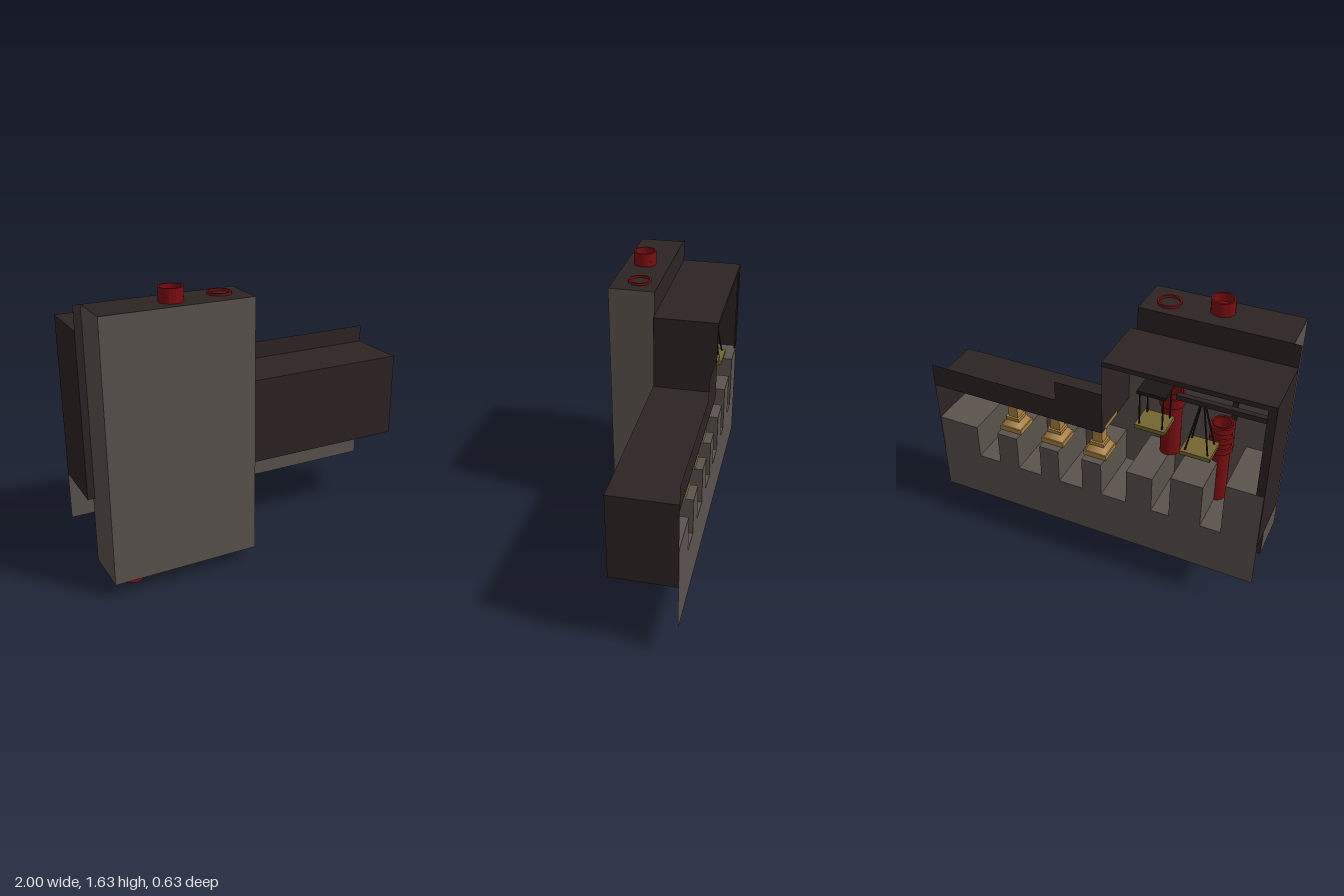
import * as THREE from 'three';

const mat = (name, color, side = THREE.DoubleSide) => {
  const m = new THREE.MeshStandardMaterial({ color, side });
  m.name = name;
  return m;
};

export function createModel() {
  const stone = mat('grey stone', 0x5a524d);
  const dark = mat('dark brown wall', 0x2d2323);
  const red = mat('red pipe', 0x7a0d10);
  const gold = mat('gold pedestal', 0xa9813f);
  const olive = mat('olive platform', 0x74662f);
  const black = mat('black iron', 0x1b1616);

  const root = new THREE.Group();
  root.name = 'levelSection';

  const add = (name, geo, m, parent = root) => {
    const mesh = new THREE.Mesh(geo, m);
    mesh.name = name;
    parent.add(mesh);
    return mesh;
  };
  const box = (name, m, x0, x1, y0, y1, z0, z1, parent) => {
    const b = add(name, new THREE.BoxGeometry(x1 - x0, y1 - y0, z1 - z0), m, parent);
    b.position.set((x0 + x1) / 2, (y0 + y1) / 2, (z0 + z1) / 2);
    return b;
  };
  // Single sheets facing z, x or y
  const sheetZ = (name, m, x0, x1, y0, y1, z) => {
    const p = add(name, new THREE.PlaneGeometry(x1 - x0, y1 - y0), m);
    p.position.set((x0 + x1) / 2, (y0 + y1) / 2, z);
  };
  const sheetX = (name, m, x, y0, y1, z0, z1) => {
    const p = add(name, new THREE.PlaneGeometry(z1 - z0, y1 - y0), m);
    p.rotation.y = Math.PI / 2;
    p.position.set(x, (y0 + y1) / 2, (z0 + z1) / 2);
  };
  const sheetY = (name, m, y, x0, x1, z0, z1) => {
    const p = add(name, new THREE.PlaneGeometry(x1 - x0, z1 - z0), m);
    p.rotation.x = -Math.PI / 2;
    p.position.set((x0 + x1) / 2, y, (z0 + z1) / 2);
  };

  // Front tower, open underneath
  sheetZ('towerFront', stone, -0.96, -0.12, 0.08, 1.55, 0.315);
  for (const x of [-0.96, -0.12]) {
    sheetX('towerSideUpper', stone, x, 0.475, 1.55, 0.05, 0.315);
    sheetX('towerSideLower', stone, x, 0.08, 0.475, 0.02, 0.315);
  }
  sheetY('towerTop', dark, 1.55, -0.96, -0.12, 0.05, 0.315);
  sheetZ('towerBackUpper', dark, -1, -0.12, 0.475, 1.55, 0.05);
  sheetZ('towerBackLower', dark, -0.96, -0.12, 0.08, 0.475, 0.02);

  // Tall room behind the tower
  sheetY('roomRoof', dark, 1.415, -1, -0.08, -0.315, 0.05);
  sheetX('roomOuterWall', dark, -1, 0.475, 1.415, -0.315, 0.05);
  sheetX('roomInnerWall', dark, -0.08, 0.95, 1.415, -0.315, 0.05);
  sheetZ('roomFrontStrip', dark, -0.12, -0.08, 0.95, 1.415, 0.05);
  sheetZ('roomLining', stone, -0.995, -0.075, 0.475, 1.41, 0.043);
  box('roomLintel', dark, -1, -0.08, 1.385, 1.414, -0.314, -0.305);
  box('roomPost', dark, -1, -0.955, 0.475, 1.4, -0.314, -0.305);

  // Long low hall
  sheetZ('hallFront', dark, -0.075, 1, 0.475, 0.985, 0.05);
  sheetY('hallRoof', dark, 0.985, -0.075, 1, -0.315, 0.05);
  sheetX('hallEnd', dark, 1, 0.475, 0.985, -0.315, 0.05);
  sheetZ('hallLining', stone, -0.075, 0.995, 0.475, 0.98, 0.043);
  sheetZ('hallParapet', dark, 0.2, 1, 0.95, 1.09, -0.315);
  sheetZ('hallParapetStep', dark, -0.08, 0.2, 0.95, 1.21, -0.315);

  // Ground with pits, cut as one stepped profile
  const blocks = [ // right end, left end, top
    [-0.995, -0.79, 0.84], [-0.67, -0.486, 0.78], [-0.38, -0.225, 0.73],
    [-0.07, 0.05, 0.72], [0.2, 0.32, 0.72], [0.47, 0.6, 0.72], [0.74, 0.995, 0.715],
  ];
  const profile = new THREE.Shape();
  profile.moveTo(-0.995, 0.475);
  blocks.forEach(([a, b, top], i) => {
    if (i) profile.lineTo(a, 0.5);
    profile.lineTo(a, top);
    profile.lineTo(b, top);
    if (i < blocks.length - 1) profile.lineTo(b, 0.5);
  });
  profile.lineTo(0.995, 0.475);
  const ground = add('ground', new THREE.ExtrudeGeometry(profile, { depth: 0.355, bevelEnabled: false }), stone);
  ground.position.z = -0.315;
  sheetZ('groundSkirt', stone, -1, 1, 0.19, 0.476, -0.315);

  // Gold pedestals with stepped bases and flared tops
  for (const x of [0.535, 0.26, -0.01]) {
    const g = new THREE.Group();
    g.name = 'pedestal';
    g.position.set(x, 0.72, -0.2);
    root.add(g);
    const step = (name, w, y0, y1) => box(name, gold, -w / 2, w / 2, y0, y1, -w / 2, w / 2, g);
    step('plinth', 0.14, 0, 0.03);
    const slope = add('plinthSlope', new THREE.CylinderGeometry(0.062, 0.09, 0.035, 4), gold, g);
    slope.rotation.y = Math.PI / 4;
    slope.position.y = 0.047;
    step('collar', 0.085, 0.064, 0.085);
    step('shaft', 0.06, 0.085, 0.19);
    const flare = add('flare', new THREE.CylinderGeometry(0.095, 0.05, 0.04, 4), gold, g);
    flare.rotation.y = Math.PI / 4;
    flare.position.y = 0.21;
    step('cap', 0.145, 0.23, 0.255);
  }

  // Hollow pipes
  const pipe = (name, x, z, y0, y1, r) => {
    const pts = [[r, y0], [r, y1], [r * 0.84, y1], [r * 0.84, y0], [r, y0]];
    const flat = new THREE.LatheGeometry(pts.map(p => new THREE.Vector2(...p)), 24).toNonIndexed();
    flat.computeVertexNormals();
    add(name, flat, red).position.set(x, 0, z);
  };
  pipe('bottomPipe', -0.81, 0.157, 0, 1.3, 0.067);
  pipe('topPipe', -0.54, 0.2, 0.18, 1.628, 0.066);
  pipe('topRing', -0.255, 0.165, 0.18, 1.563, 0.066);
  sheetY('topPipeFloor', red, 1.58, -0.59, -0.49, 0.15, 0.25);

  // Room pipes with flanges
  pipe('tallRoomPipe', -0.37, -0.03, 0.73, 1.15, 0.058);
  pipe('tallRoomPipeRim', -0.37, -0.03, 1.06, 1.12, 0.072);
  pipe('shortRoomPipe', -0.665, -0.03, 0.5, 1.02, 0.055);
  for (const y of [0.84, 0.91, 0.98]) pipe('shortRoomPipeRim', -0.665, -0.03, y, y + 0.035, 0.068);

  // Hanging platforms: one on straight rods, one on rods meeting at an apex
  const rod = (a, b) => add('hangingRod',
    new THREE.TubeGeometry(new THREE.LineCurve3(new THREE.Vector3(...a), new THREE.Vector3(...b)), 1, 0.005, 5), black);
  [[-0.34, 1.04, 1], [-0.6, 0.95, 0.12]].forEach(([x, y, spread]) => {
    box('platform', olive, x - 0.085, x + 0.085, y - 0.012, y + 0.012, -0.285, -0.135);
    for (const sx of [-0.065, 0.065]) for (const sz of [-0.055, 0.055])
      rod([x + sx, y, -0.21 + sz], [x + sx * spread, 1.25, -0.21 + sz * spread]);
  });
  box('hangerPlate', black, -0.42, -0.26, 1.245, 1.265, -0.275, -0.145);
  box('hangerBeam', dark, -0.995, -0.46, 1.235, 1.265, -0.225, -0.195);
  box('windowPost', dark, -0.72, -0.69, 1.0, 1.41, 0.03, 0.04);
  box('windowRail', dark, -0.99, -0.1, 1.15, 1.18, 0.03, 0.04);

  // Small door frame at the end of the hall
  for (const x of [0.86, 0.94]) box('doorJamb', black, x, x + 0.02, 0.715, 0.86, 0.02, 0.04);
  box('doorHead', black, 0.86, 0.96, 0.86, 0.88, 0.02, 0.04);

  return root;
}
